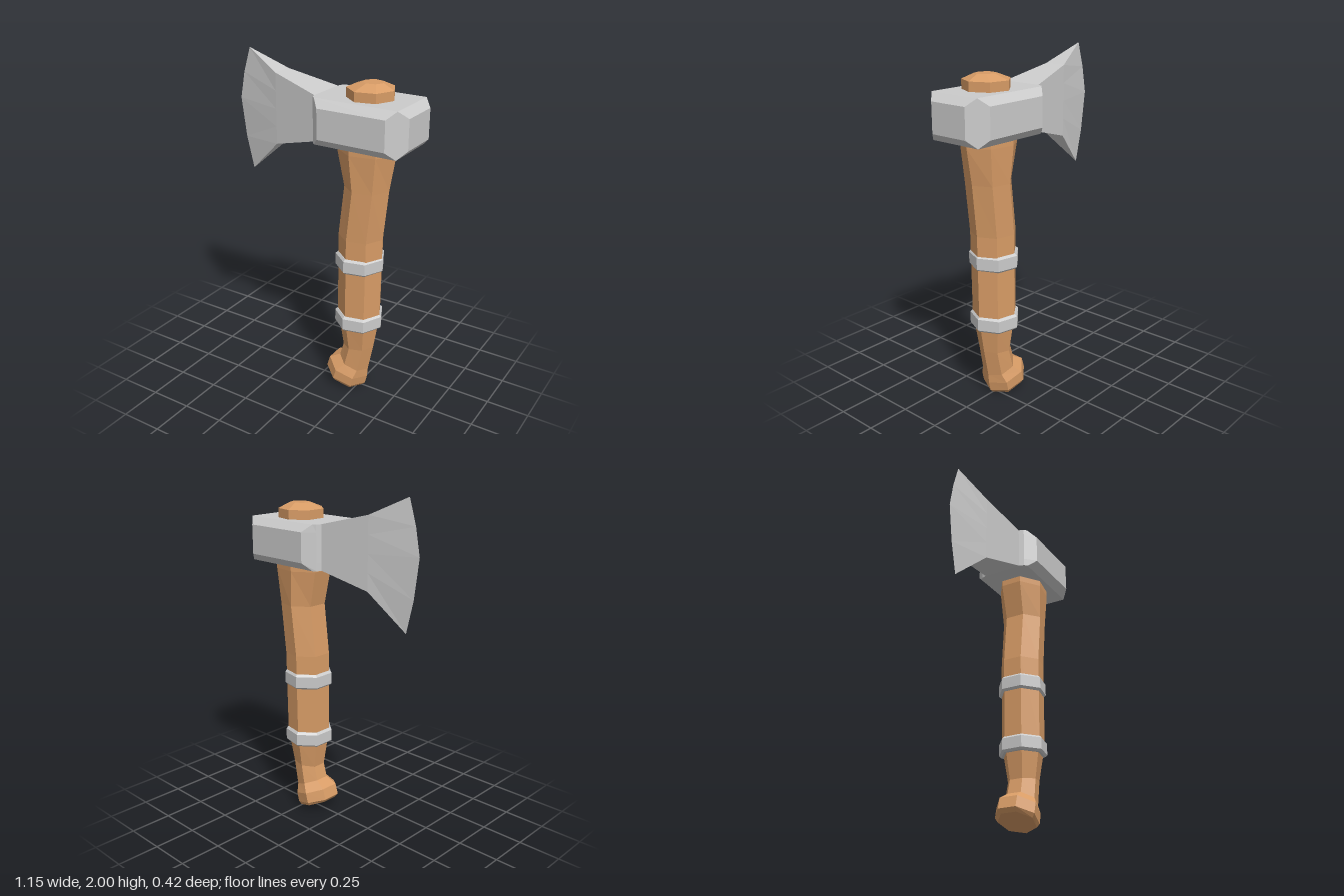
import * as THREE from 'three';

const wood = new THREE.MeshStandardMaterial({ color: 0xd89c66, flatShading: true });
const metal = new THREE.MeshStandardMaterial({ color: 0xcccccc, flatShading: true });

// Skin a solid through closed loops of equal length, with a fan cap on both ends.
function loft(name, loops, material) {
  const tris = [];
  const add = (a, b, c) => {
    const area = b.clone().sub(a).cross(c.clone().sub(a)).length();
    if (area > 1e-7) tris.push([a, b, c]);
  };
  const n = loops[0].length;
  const centre = (loop) => loop.reduce((s, p) => s.add(p), new THREE.Vector3()).divideScalar(n);
  const first = loops[0], last = loops[loops.length - 1];
  const c0 = centre(first), c1 = centre(last);
  for (let i = 0; i < n; i++) {
    const j = (i + 1) % n;
    for (let k = 0; k + 1 < loops.length; k++) {
      const lo = loops[k], hi = loops[k + 1];
      add(lo[i], lo[j], hi[j]);
      add(lo[i], hi[j], hi[i]);
    }
    add(c0, first[j], first[i]);
    add(c1, last[i], last[j]);
  }
  // turn the faces outward whichever way the loops run
  const volume = tris.reduce((s, [a, b, c]) => s + a.dot(b.clone().cross(c)), 0);
  const points = tris.flatMap(([a, b, c]) => (volume < 0 ? [a, c, b] : [a, b, c]));
  const geometry = new THREE.BufferGeometry().setFromPoints(points);
  geometry.computeVertexNormals();
  const mesh = new THREE.Mesh(geometry, material);
  mesh.name = name;
  return mesh;
}

// Seven-sided ring with its flat side at the left point and its corner at the right point.
function ring([lx, ly, rx, ry, halfDepth]) {
  const back = Math.cos(Math.PI / 7);
  return Array.from({ length: 7 }, (_, i) => {
    const a = (i / 7) * Math.PI * 2;
    const t = (Math.cos(a) + back) / (1 + back);
    return new THREE.Vector3(
      THREE.MathUtils.lerp(lx, rx, t),
      THREE.MathUtils.lerp(ly, ry, t),
      (halfDepth / 0.975) * Math.sin(a)
    );
  });
}

// Close an outline of [x, y, z] points with its mirror image across z = 0.
function mirrored(half) {
  const front = half.map(([x, y, z]) => new THREE.Vector3(x, y, z));
  const rear = half.map(([x, y, z]) => new THREE.Vector3(x, y, -z)).reverse();
  return [...front, ...rear];
}

export function createModel() {
  const model = new THREE.Group();
  model.name = 'axe';

  // Handle: leftX, leftY, rightX, rightY, half depth, from pommel to top
  const handle = [
    [0.075, 0.075, 0.275, 0.0, 0.11],
    [0.055, 0.1, 0.295, 0.02, 0.125],
    [0.075, 0.165, 0.308, 0.075, 0.125],
    [0.14, 0.2, 0.312, 0.13, 0.095],
    [0.163, 0.285, 0.345, 0.3, 0.09],
    [0.14, 0.45, 0.37, 0.45, 0.115],
    [0.13, 0.53, 0.38, 0.53, 0.125],
    [0.13, 1.02, 0.385, 1.02, 0.128],
    [0.165, 1.32, 0.415, 1.32, 0.13],
    [0.12, 1.53, 0.45, 1.53, 0.142],
    [0.12, 1.6, 0.45, 1.6, 0.142],
    [0.168, 1.75, 0.424, 1.75, 0.128],
    [0.168, 1.875, 0.424, 1.875, 0.13],
    [0.245, 1.907, 0.36, 1.907, 0.055],
  ];
  model.add(loft('handle', handle.map(ring), wood));

  // Two bevelled bands around the grip
  [['lowerBand', 0.44], ['upperBand', 0.815]].forEach(([name, y]) => {
    const band = [[0, 0.012], [0.012, 0], [0.08, 0], [0.093, 0.012]];
    const loops = band.map(([h, inset]) =>
      ring([0.115 + inset, y + h, 0.391 - inset, y + h, 0.141 - inset]));
    model.add(loft(name, loops, metal));
  });

  // Hammer block: chamfered plan outlines stacked in height
  const wide = [[0.575, 0.12], [0.485, 0.208], [0.08, 0.208], [0.02, 0.15], [0.01, 0.12]];
  const narrow = [[0.53, 0.164], [0.53, 0.164], [0.037, 0.164], [0.02, 0.15], [0.01, 0.12]];
  const levels = [[1.565, narrow], [1.61, wide], [1.78, wide], [1.822, narrow]];
  const block = levels.map(([y, plan]) => mirrored(plan.map(([x, z]) => [x, y, z])));
  model.add(loft('headBlock', block, metal));

  // Blade: columns running from the block out to the curved cutting edge
  const rows = [0, 0.25, 0.5, 0.75, 1];
  const column = (x, low, high, z) =>
    mirrored(rows.map((t) => [x, THREE.MathUtils.lerp(low, high, t), z]));
  const edge = mirrored([
    [-0.5, 1.28, 0], [-0.545, 1.47, 0], [-0.575, 1.7, 0], [-0.545, 1.855, 0], [-0.5, 2, 0],
  ]);
  const blade = [column(0.01, 1.565, 1.822, 0.12), column(-0.28, 1.485, 1.895, 0.065), edge];
  model.add(loft('blade', blade, metal));

  return model;
}
